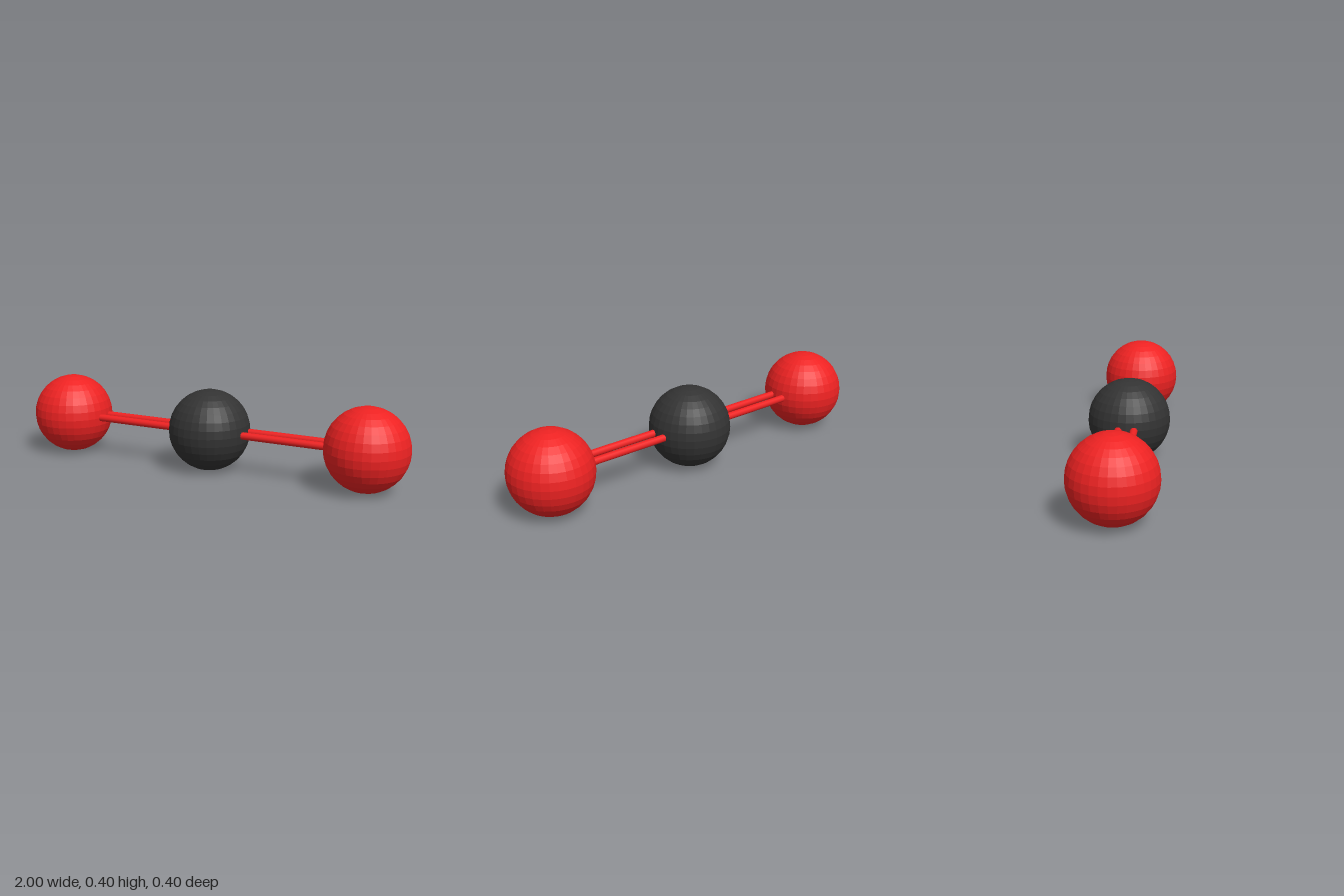
import * as THREE from 'three';

export function createModel() {
  const group = new THREE.Group();
  const R = 0.2, reach = 0.8, rodR = 0.018, rodOffset = 0.037;
  const red = new THREE.MeshStandardMaterial({ color: 0xee2222, flatShading: true });
  const redSmooth = new THREE.MeshStandardMaterial({ color: 0xee2222 });
  const dark = new THREE.MeshStandardMaterial({ color: 0x333333, flatShading: true });

  const add = (name, geometry, material, x, z = 0) => {
    const mesh = new THREE.Mesh(geometry, material);
    mesh.name = name;
    mesh.position.set(x, R, z);
    group.add(mesh);
  };

  // Faceted balls and the rods that join them centre to centre
  const ball = new THREE.SphereGeometry(R, 32, 16);
  const rod = new THREE.CylinderGeometry(rodR, rodR, reach, 16).rotateZ(Math.PI / 2);

  add('centreAtom', ball, dark, 0);
  for (const [side, s] of [['left', 1], ['right', -1]]) {
    add(side + 'Atom', ball, red, s * reach);
    // Double bond: one rod in front, one behind
    add(side + 'FrontBond', rod, redSmooth, s * reach / 2, rodOffset);
    add(side + 'BackBond', rod, redSmooth, s * reach / 2, -rodOffset);
  }
  return group;
}
